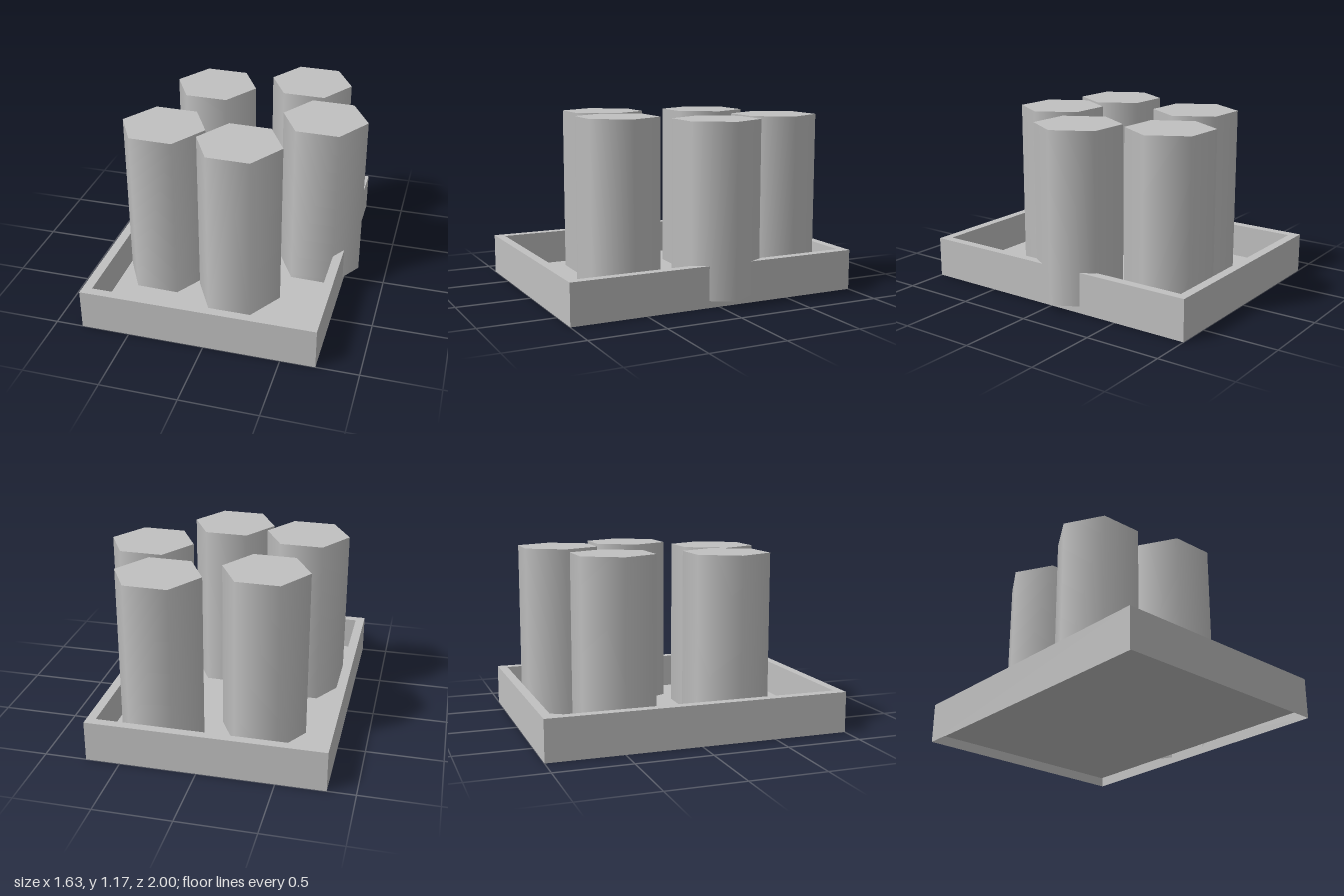
import * as THREE from 'three';

const OUTER = { x0: -0.82, x1: 0.725, z0: -1, z1: 1 };
const INNER = { x0: -0.757, x1: 0.665, z0: -0.94, z1: 0.94 };
const RIM_Y = 0.27, FLOOR_Y = 0.04;
const COLUMN_BOTTOM = 0.045, COLUMN_TOP = 1.172;
const RADIUS = 0.284, TWIST = 0.024;
const COLUMNS = [[-0.315, -0.423], [0.322, -0.633], [0.528, -0.078], [-0.46, 0.295], [0.078, 0.412]];

export function createModel() {
  const model = new THREE.Group();
  const grey = new THREE.MeshStandardMaterial({ color: 0xc0c0c0, side: THREE.DoubleSide });
  grey.name = 'grey';

  const add = (parent, name, geometry) => {
    const mesh = new THREE.Mesh(geometry, grey);
    mesh.name = name;
    parent.add(mesh);
    return mesh;
  };

  // Four upright sheets around a rectangle; facing is 1 for outward, -1 for inward
  const addWalls = (parent, name, r, y0, y1, facing) => {
    const cx = (r.x0 + r.x1) / 2, cz = (r.z0 + r.z1) / 2;
    const w = r.x1 - r.x0, d = r.z1 - r.z0;
    for (let i = 0; i < 4; i++) {
      const angle = i * Math.PI / 2;
      const [span, reach] = i % 2 ? [d, w / 2] : [w, d / 2];
      const sheet = new THREE.PlaneGeometry(span, y1 - y0);
      if (facing < 0) sheet.rotateY(Math.PI);
      sheet.translate(0, 0, reach).rotateY(angle).translate(cx, (y0 + y1) / 2, cz);
      add(parent, name, sheet);
    }
  };

  const outline = (Type, r) => new Type([
    new THREE.Vector2(r.x0, -r.z1), new THREE.Vector2(r.x1, -r.z1),
    new THREE.Vector2(r.x1, -r.z0), new THREE.Vector2(r.x0, -r.z0),
  ]);
  const flat = (shape, y) => new THREE.ShapeGeometry(shape).rotateX(-Math.PI / 2).translate(0, y, 0);

  // Hollow-walled tray, open underneath the rim
  const tray = new THREE.Group();
  tray.name = 'tray';
  model.add(tray);
  addWalls(tray, 'outerWall', OUTER, 0, RIM_Y, 1);
  addWalls(tray, 'innerWall', INNER, FLOOR_Y, RIM_Y, -1);
  const rim = outline(THREE.Shape, OUTER);
  rim.holes.push(outline(THREE.Path, INNER));
  add(tray, 'rim', flat(rim, RIM_Y));
  add(tray, 'floor', flat(outline(THREE.Shape, INNER), FLOOR_Y));

  // Smooth-shaded hexagonal columns with flat tops
  const height = COLUMN_TOP - COLUMN_BOTTOM;
  const shaft = new THREE.CylinderGeometry(RADIUS, RADIUS, height, 6, 1, true, Math.PI / 2 - TWIST)
    .translate(0, COLUMN_BOTTOM + height / 2, 0);
  const cap = new THREE.CircleGeometry(RADIUS, 6, -TWIST)
    .rotateX(-Math.PI / 2).translate(0, COLUMN_TOP, 0);
  for (const [x, z] of COLUMNS) {
    const column = new THREE.Group();
    column.name = 'column';
    column.position.set(x, 0, z);
    add(column, 'columnShaft', shaft);
    add(column, 'columnTop', cap);
    model.add(column);
  }
  return model;
}
